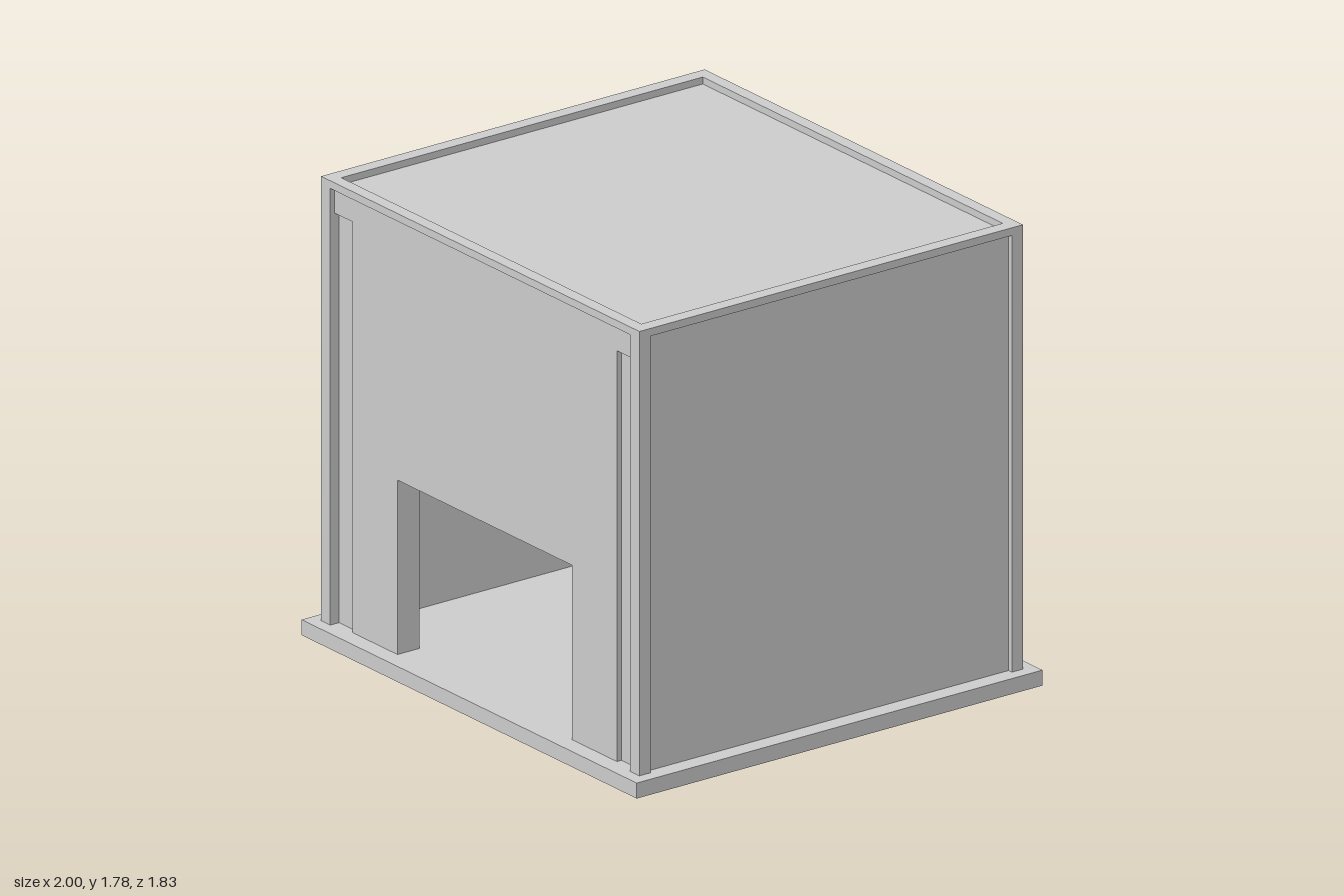
import * as THREE from 'three';

const W = 0.95, D = 0.865;            // outer half width and half depth of the frame
const IW = 0.895, ID = 0.815;         // inner half width and half depth of the frame
const FLOOR = 0.06, TOP = 1.78, BEAM = 1.75;
const RECESS = 0.02, THICK = 0.1;     // panel recess and wall thickness

export function createModel() {
  const model = new THREE.Group();
  const material = new THREE.MeshStandardMaterial({ color: 0xcccccc, flatShading: true });

  const add = (name, geometry) => {
    const mesh = new THREE.Mesh(geometry, material);
    mesh.name = name;
    model.add(mesh);
    return mesh;
  };
  // Box given by its lower and upper limits
  const box = (name, x0, x1, y0, y1, z0, z1) =>
    add(name, new THREE.BoxGeometry(x1 - x0, y1 - y0, z1 - z0))
      .position.set((x0 + x1) / 2, (y0 + y1) / 2, (z0 + z1) / 2);
  // Vertical slab with an outline in x and y
  const slab = (name, points, z0, z1) => {
    const shape = new THREE.Shape(points.map(([x, y]) => new THREE.Vector2(x, y)));
    add(name, new THREE.ExtrudeGeometry(shape, { depth: z1 - z0, bevelEnabled: false })).position.z = z0;
  };

  box('base', -1, 1, 0, FLOOR, -0.915, 0.915);

  // Corner posts
  for (const sx of [-1, 1]) for (const sz of [-1, 1]) {
    const x = sx * (W + IW) / 2, z = sz * (D + ID) / 2;
    const hx = (W - IW) / 2, hz = (D - ID) / 2;
    box('cornerPost', x - hx, x + hx, FLOOR, BEAM, z - hz, z + hz);
  }

  // Top rim, one ring with a rectangular opening
  const rect = (Type, a, b) => new Type([[-a, -b], [a, -b], [a, b], [-a, b]].map(p => new THREE.Vector2(...p)));
  const ring = rect(THREE.Shape, W, D);
  ring.holes.push(rect(THREE.Path, IW, ID));
  const rim = add('topRim', new THREE.ExtrudeGeometry(ring, { depth: TOP - BEAM, bevelEnabled: false }));
  rim.rotation.x = -Math.PI / 2;
  rim.position.y = BEAM;

  // Sunken roof
  box('roof', -IW, IW, BEAM - THICK, BEAM + 0.003, -ID, ID);

  // Recessed side and back walls
  const wx = W - RECESS, wz = D - RECESS;
  box('leftWall', wx - THICK, wx, FLOOR, BEAM, -ID, ID);
  box('rightWall', -wx, -wx + THICK, FLOOR, BEAM, -ID, ID);
  box('backWall', -IW, IW, FLOOR, BEAM, -wz, -wz + THICK);

  // Front wall with a doorway, its outer layer cut back beside the posts
  const door = [[-0.52, FLOOR], [-0.52, 0.735], [0.52, 0.735], [0.52, FLOOR]];
  const step = wz - 0.02;
  slab('frontWall', [...door, [IW, FLOOR], [IW, BEAM], [-IW, BEAM], [-IW, FLOOR]], wz - THICK, step);
  slab('frontFacing', [...door, [0.79, FLOOR], [0.79, 1.65], [IW, 1.65], [IW, BEAM],
    [-IW, BEAM], [-IW, 1.65], [-0.79, 1.65], [-0.79, FLOOR]], step, wz);

  return model;
}
